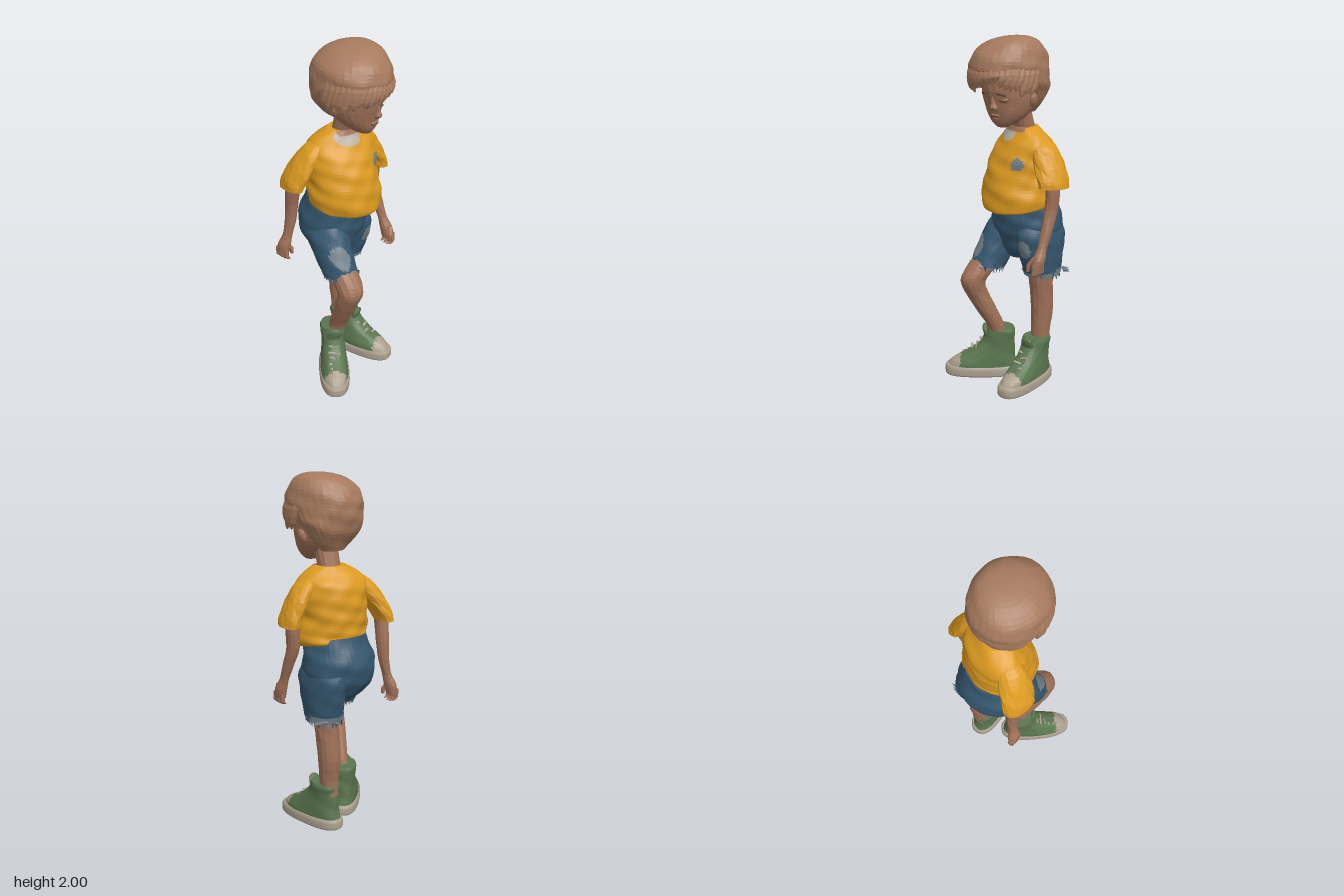
import * as THREE from 'three';

const mat = (name, color) => {
  const m = new THREE.MeshStandardMaterial({ color });
  m.name = name;
  return m;
};

let seed = 7;
const rnd = () => (seed = (seed * 16807) % 2147483647) / 2147483647;

// Catmull-Rom blend of neighbouring cross-sections
function blend(s, steps) {
  const out = [];
  for (let i = 0; i < s.length - 1; i++) {
    const p = [s[Math.max(i - 1, 0)], s[i], s[i + 1], s[Math.min(i + 2, s.length - 1)]];
    for (let k = 0; k < steps; k++) {
      const t = k / steps;
      out.push([0, 1, 2, 3, 4, 5, 6].map((c) => {
        const [a, b, d, e] = p.map((q) => q[c] || 0);
        return b + 0.5 * t * (d - a + t * (2 * a - 5 * b + 4 * d - e + t * (3 * (b - d) + e - a)));
      }));
    }
  }
  out.push([0, 1, 2, 3, 4, 5, 6].map((c) => s[s.length - 1][c] || 0));
  return out;
}

// Closed faceted body through horizontal rings, bottom to top.
// Each section: [y, x, z, halfWidth, halfDepth, yaw, tilt]; round < 1 squares the ring
function loft(name, sections, mats, { segs = 16, steps = 3, wrinkle = 0, round = 1, paint = () => 0 } = {}) {
  mats = [].concat(mats);
  const soft = (v) => Math.sign(v) * Math.abs(v) ** round;
  const rings = blend(sections, steps).map(([y, x, z, rx, rz, a, tilt]) => {
    const ring = [];
    for (let j = 0; j < segs; j++) {
      const t = (j / segs) * Math.PI * 2;
      const w = 1 + wrinkle * (Math.sin(5 * t + y * 31) + Math.sin(9 * t - y * 47) + Math.sin(3 * t + y * 70));
      const u = soft(Math.sin(t)) * rx * w, v = soft(Math.cos(t)) * rz * w;
      ring.push(new THREE.Vector3(x + u * Math.cos(a) - v * Math.sin(a), y + tilt * v, z + u * Math.sin(a) + v * Math.cos(a)));
    }
    return ring;
  });
  const faces = mats.map(() => []);
  const tri = (a, b, c) => {
    const m = new THREE.Vector3().add(a).add(b).add(c).divideScalar(3);
    faces[paint(m.x, m.y, m.z)].push(...a.toArray(), ...b.toArray(), ...c.toArray());
  };
  const mid = (r) => r.reduce((s, p) => s.add(p), new THREE.Vector3()).divideScalar(segs);
  const low = rings[0], top = rings[rings.length - 1], lowMid = mid(low), topMid = mid(top);
  for (let j = 0; j < segs; j++) {
    const k = (j + 1) % segs;
    tri(lowMid, low[k], low[j]);
    tri(topMid, top[j], top[k]);
    for (let i = 0; i < rings.length - 1; i++) {
      tri(rings[i][j], rings[i][k], rings[i + 1][j]);
      tri(rings[i][k], rings[i + 1][k], rings[i + 1][j]);
    }
  }
  const geo = new THREE.BufferGeometry();
  geo.setAttribute('position', new THREE.Float32BufferAttribute(faces.flat(), 3));
  let start = 0;
  faces.forEach((f, i) => { geo.addGroup(start, f.length / 3, i); start += f.length / 3; });
  geo.computeVertexNormals();
  const mesh = new THREE.Mesh(geo, mats);
  mesh.name = name;
  return mesh;
}

// Faceted primitive placed in the model
function put(name, geo, material, pos, rot = [0, 0, 0], scale = [1, 1, 1]) {
  const g = geo.index ? geo.toNonIndexed() : geo;
  g.computeVertexNormals();
  const m = new THREE.Mesh(g, material);
  m.name = name;
  m.position.set(...pos);
  m.rotation.set(...rot);
  m.scale.set(...scale);
  return m;
}
const ball = (name, material, pos, scale, rot) => put(name, new THREE.SphereGeometry(1, 10, 7), material, pos, rot, scale);

export function createModel() {
  const skin = mat('skin', 0xa0725a), hair = mat('hair', 0xa67a5e), yellow = mat('yellow cotton', 0xdc9a20);
  const denim = mat('blue denim', 0x35566e), green = mat('green canvas', 0x5a754f), rubber = mat('pale rubber', 0xaca090);
  const grey = mat('faded patch', 0x74828c), cream = mat('undershirt', 0xbab0a4), dark = mat('dark line', 0x5c4233);
  const model = new THREE.Group();
  model.name = 'standingChild';
  const add = (...parts) => model.add(...parts);

  // Shirt with chest badge, undershirt and open neckline
  add(loft('shirt', [
    [1.075, 0.03, -0.015, 0.19, 0.19, 0.1, -0.15], [1.09, 0.03, -0.01, 0.208, 0.2, 0.12, -0.14],
    [1.15, 0.025, -0.01, 0.215, 0.198, 0.18, -0.05], [1.25, 0.022, -0.025, 0.2, 0.188, 0.25],
    [1.35, 0.03, -0.04, 0.205, 0.165, 0.32], [1.42, 0.04, -0.05, 0.198, 0.135, 0.36],
    [1.47, 0.04, -0.045, 0.158, 0.1, 0.36], [1.51, 0.042, -0.035, 0.09, 0.075, 0.3],
  ], [yellow, grey, cream, skin], {
    segs: 84, steps: 7, wrinkle: 0.011,
    paint: (x, y, z) => {
      if (z < -0.01) return 0;
      if (Math.hypot(x - 0.135, y - 1.325) < 0.035) return 1;
      if (y > 1.487 && Math.abs(x - 0.035) < 0.08) return 3;
      return Math.hypot((x + 0.002) / 0.068, (y - 1.475) / 0.042) < 1 ? 2 : 0;
    },
  }));
  add(loft('rightSleeve', [
    [1.195, -0.23, -0.172, 0.05, 0.094, 0.3, 0.05], [1.25, -0.214, -0.16, 0.058, 0.098, 0.3],
    [1.34, -0.165, -0.13, 0.066, 0.092, 0.3], [1.42, -0.11, -0.1, 0.065, 0.07, 0.3], [1.47, -0.06, -0.08, 0.03, 0.04, 0.3],
  ], yellow, { segs: 22, wrinkle: 0.02 }));
  add(loft('leftSleeve', [
    [1.205, 0.295, 0, 0.052, 0.092, 0.25, 0.05], [1.25, 0.284, -0.002, 0.056, 0.094, 0.25],
    [1.34, 0.242, -0.012, 0.06, 0.09, 0.3], [1.42, 0.195, -0.02, 0.06, 0.07, 0.3], [1.47, 0.14, -0.025, 0.03, 0.04, 0.3],
  ], yellow, { segs: 22, wrinkle: 0.02 }));

  // Shorts: seat plus two legs, sharing patches and faded hems
  const shorts = (name, sections, hem) => loft(name, sections, [denim, grey], {
    segs: 44, steps: 9, wrinkle: 0.008,
    paint: (x, y, z) => y < hem(z) || (z > -0.03 && (Math.hypot((x + 0.158) / 0.046, (y - 0.815) / 0.062) < 1
      || Math.hypot((x - 0.14) / 0.04, (y - 0.835) / 0.055) < 1)) ? 1 : 0,
  });
  add(shorts('shortsSeat', [
    [0.755, 0.01, -0.06, 0.06, 0.08], [0.8, 0.015, -0.075, 0.14, 0.135], [0.87, 0.018, -0.088, 0.2, 0.17], [0.94, 0.02, -0.088, 0.21, 0.189],
    [1.01, 0.02, -0.085, 0.203, 0.19], [1.08, 0.02, -0.07, 0.185, 0.17], [1.12, 0.02, -0.065, 0.17, 0.158, 0, -0.1],
  ], () => 0));
  add(shorts('rightShortsLeg', [
    [0.69, -0.125, 0.09, 0.092, 0.105, 0.1, 0.1], [0.8, -0.113, 0.025, 0.103, 0.125, 0.1],
    [0.92, -0.09, -0.045, 0.108, 0.138, 0.1], [1.03, -0.06, -0.07, 0.07, 0.1, 0.1],
  ], (z) => 0.698 + 0.1 * (z - 0.09)));
  add(shorts('leftShortsLeg', [
    [0.665, 0.13, -0.095, 0.1, 0.11], [0.8, 0.132, -0.085, 0.105, 0.15], [0.92, 0.122, -0.08, 0.108, 0.168], [1.03, 0.08, -0.08, 0.08, 0.12],
  ], (z) => (z < -0.1 ? 0.705 : 0.685)));
  // Frayed threads round the hems
  for (const [cx, cy, cz, rx, rz] of [[-0.125, 0.69, 0.09, 0.088, 0.1], [0.13, 0.665, -0.095, 0.096, 0.106]]) {
    for (let i = 0; i < 26; i++) {
      const t = (i / 26) * Math.PI * 2;
      add(put('hemThread', new THREE.ConeGeometry(0.012, 0.025 + 0.025 * rnd(), 3), i % 3 ? grey : denim,
        [cx + Math.sin(t) * rx, cy - 0.004 + 0.01 * Math.cos(t), cz + Math.cos(t) * rz], [Math.PI + (rnd() - 0.5) * 0.7, 0, (rnd() - 0.5) * 0.7]));
    }
  }
  for (let i = 0; i < 4; i++) {
    add(put('looseThread', new THREE.ConeGeometry(0.01, 0.05, 4), grey, [0.215 + i * 0.011, 0.685 - 0.006 * (i % 2), -0.2 + 0.008 * i], [0.4 * i, 0, -1.3 - 0.3 * (i % 2)]));
  }

  // Legs
  add(loft('rightLeg', [
    [0.22, -0.1, 0.02, 0.048, 0.05], [0.32, -0.102, 0.05, 0.05, 0.052], [0.42, -0.122, 0.1, 0.058, 0.06],
    [0.53, -0.145, 0.152, 0.064, 0.066], [0.61, -0.15, 0.182, 0.07, 0.073], [0.67, -0.14, 0.15, 0.075, 0.09], [0.76, -0.125, 0.07, 0.075, 0.09],
  ], skin, { segs: 14, wrinkle: 0.008 }));
  add(loft('leftLeg', [
    [0.2, 0.105, -0.11, 0.052, 0.055], [0.3, 0.108, -0.11, 0.054, 0.056], [0.42, 0.112, -0.118, 0.062, 0.066],
    [0.55, 0.115, -0.108, 0.066, 0.068], [0.62, 0.118, -0.1, 0.068, 0.072], [0.76, 0.125, -0.09, 0.075, 0.085],
  ], skin, { segs: 14, wrinkle: 0.008 }));

  // Arms and hands
  const arm = (side, s, out) => {
    add(loft(side + 'Arm', s, skin, { segs: 12, wrinkle: 0.01 }));
    const [y, x, z] = s[0];
    for (let i = 0; i < 4; i++) {
      const fx = x + out * 0.006, fz = z + (i - 1.5) * 0.021;
      add(loft(side + 'Finger', [[y - 0.045 + 0.006 * Math.abs(i - 1.5), fx - out * 0.02, fz + 0.004, 0.009, 0.008],
        [y - 0.02, fx, fz + 0.004, 0.014, 0.012], [y + 0.03, fx, fz, 0.015, 0.012]], skin, { segs: 6, steps: 2 }));
    }
    add(loft(side + 'Thumb', [[y - 0.005, x - out * 0.03, z + 0.04, 0.009, 0.01], [y + 0.03, x - out * 0.026, z + 0.038, 0.014, 0.014],
      [y + 0.075, x, z + 0.018, 0.014, 0.016]], skin, { segs: 6, steps: 2 }));
  };
  arm('right', [
    [0.765, -0.25, -0.235, 0.026, 0.038], [0.82, -0.243, -0.228, 0.033, 0.04], [0.88, -0.228, -0.215, 0.025, 0.029],
    [0.97, -0.212, -0.205, 0.03, 0.034], [1.08, -0.208, -0.195, 0.035, 0.04], [1.2, -0.215, -0.172, 0.038, 0.045], [1.3, -0.185, -0.145, 0.04, 0.045],
  ], -1);
  arm('left', [
    [0.765, 0.277, 0.112, 0.026, 0.038], [0.82, 0.28, 0.1, 0.033, 0.04], [0.88, 0.278, 0.072, 0.025, 0.029],
    [0.97, 0.276, 0.035, 0.03, 0.035], [1.08, 0.272, -0.005, 0.034, 0.042], [1.2, 0.278, -0.01, 0.036, 0.046], [1.3, 0.25, -0.012, 0.04, 0.045],
  ], 1);

  // High-top shoes: sole, canvas upper with pale toe cap, laces, tongue
  const shoe = (side, cx, cz, yaw, h) => {
    const dx = -Math.sin(yaw), dz = Math.cos(yaw);
    const sec = (y, f, rx, rz, tilt = 0) => [y, cx + dx * f, cz + dz * f, rx, rz, yaw, tilt];
    const ahead = (x, z) => (x - cx) * dx + (z - cz) * dz;
    add(loft(side + 'ShoeSole', [sec(0, 0, 0.082, 0.214), sec(0.01, 0, 0.089, 0.221), sec(0.045, 0, 0.089, 0.221), sec(0.06, 0, 0.083, 0.213)],
      rubber, { segs: 36, steps: 2, round: 0.78 }));
    add(loft(side + 'ShoeUpper', [
      sec(0.05, 0, 0.081, 0.21), sec(0.085, -0.008, 0.08, 0.192), sec(0.12, -0.035, 0.075, 0.16), sec(0.16, -0.068, 0.07, 0.125),
      sec(0.21, -0.095, 0.069, 0.097), sec(h - 0.02, -0.11, 0.075, 0.086, 0.06), sec(h, -0.11, 0.07, 0.08, 0.06),
    ], [green, rubber], { segs: 36, wrinkle: 0.009, round: 0.85, paint: (x, y, z) => (ahead(x, z) > 0.13 ? 1 : 0) }));
    for (let i = 0; i < 5; i++) {
      const f = 0.11 - i * 0.026;
      add(put(side + 'Lace', new THREE.BoxGeometry(0.07, 0.009, 0.012), rubber,
        [cx + dx * f, 0.112 + i * 0.021, cz + dz * f], [0.5, -yaw, i % 2 ? 0.2 : -0.2]));
    }
    add(put(side + 'ShoeTongue', new THREE.CapsuleGeometry(0.035, 0.04, 3, 8), green,
      [cx + dx * -0.025, h - 0.035, cz + dz * -0.025], [0.35, -yaw, 0], [1.2, 1, 0.5]));
  };
  shoe('right', -0.18, 0.085, 0.8, 0.295);
  shoe('left', 0.12, 0.032, -0.12, 0.27);

  // Neck, face and ears
  add(loft('neck', [[1.44, 0.045, -0.045, 0.075, 0.065], [1.51, 0.042, -0.03, 0.064, 0.06], [1.62, 0.038, 0.01, 0.068, 0.07]], skin, { segs: 14 }));
  add(loft('face', [
    [1.522, 0.038, 0.128, 0.03, 0.026], [1.545, 0.036, 0.108, 0.068, 0.066], [1.585, 0.034, 0.08, 0.108, 0.108],
    [1.64, 0.03, 0.062, 0.136, 0.138], [1.72, 0.026, 0.052, 0.148, 0.165], [1.84, 0.02, 0.05, 0.15, 0.17],
  ], skin, { segs: 24, wrinkle: 0.004 }));
  add(loft('nose', [[1.615, 0.046, 0.19, 0.016, 0.016], [1.632, 0.046, 0.2, 0.022, 0.026], [1.655, 0.044, 0.2, 0.013, 0.018],
    [1.7, 0.04, 0.195, 0.01, 0.016]], skin, { segs: 8, steps: 2 }));
  add(ball('upperLip', skin, [0.038, 1.59, 0.178], [0.036, 0.01, 0.02]), ball('lowerLip', skin, [0.038, 1.572, 0.168], [0.03, 0.01, 0.022]));
  add(put('mouthLine', new THREE.BoxGeometry(0.05, 0.005, 0.008), dark, [0.038, 1.581, 0.189]));
  for (const s of [-1, 1]) {
    add(ball('eyelid', skin, [0.036 + s * 0.058, 1.675, 0.176], [0.03, 0.016, 0.016], [0, s * 0.4, 0]));
    add(put('eyeLine', new THREE.BoxGeometry(0.042, 0.009, 0.008), dark, [0.036 + s * 0.058, 1.667, 0.187], [0, s * 0.4, -s * 0.15]));
    add(put('eyebrow', new THREE.BoxGeometry(0.055, 0.009, 0.009), dark, [0.036 + s * 0.058, 1.703, 0.199], [0, s * 0.35, -s * 0.15]));
    add(ball('ear', skin, [0.028 + s * 0.146, 1.668, 0.035], [0.02, 0.04, 0.028], [0.2, 0, -s * 0.25]));
  }

  // Hair cap, rising over the brow and tapering to the nape
  add(loft('hairCap', [
    [1.59, 0.03, -0.05, 0.07, 0.045], [1.63, 0.025, -0.042, 0.115, 0.075], [1.69, 0.015, -0.04, 0.162, 0.115], [1.74, 0.013, -0.012, 0.188, 0.158],
    [1.775, 0.012, 0.018, 0.198, 0.195], [1.815, 0.012, 0.046, 0.201, 0.226], [1.86, 0.012, 0.05, 0.2, 0.226], [1.915, 0.016, 0.048, 0.183, 0.2],
    [1.965, 0.035, 0.045, 0.138, 0.148], [1.99, 0.055, 0.045, 0.08, 0.085], [1.998, 0.065, 0.045, 0.03, 0.03],
  ], hair, { segs: 34, wrinkle: 0.009 }));
  // Overlapping fringe and side locks, swept to the model's right
  const lock = (t, tipY, width) => {
    const at = (y, turn, r, w, d) => [y, 0.012 + Math.sin(t + turn) * 0.2 * r, 0.048 + Math.cos(t + turn) * 0.228 * r, w, d, -t - turn];
    add(loft('hairLock', [at(tipY, -0.16, 0.97, 0.004, 0.004), at(tipY + 0.035, -0.1, 0.98, width * 0.65, 0.016),
      at(1.81, 0, 0.94, width, 0.024), at(1.88, 0.05, 0.84, width * 0.7, 0.02)], hair, { segs: 7, steps: 2 }));
  };
  for (let i = 0; i < 24; i++) {
    const t = -1.55 + (i / 23) * 3.1;
    const tip = t < 0.6 ? 1.695 + 0.065 * Math.max(0, (t + 1) / 1.6) : 1.76 - 0.075 * (t - 0.6);
    lock(t, tip + 0.03 * (rnd() - 0.5), 0.03 + 0.012 * rnd());
  }
  return model;
}
